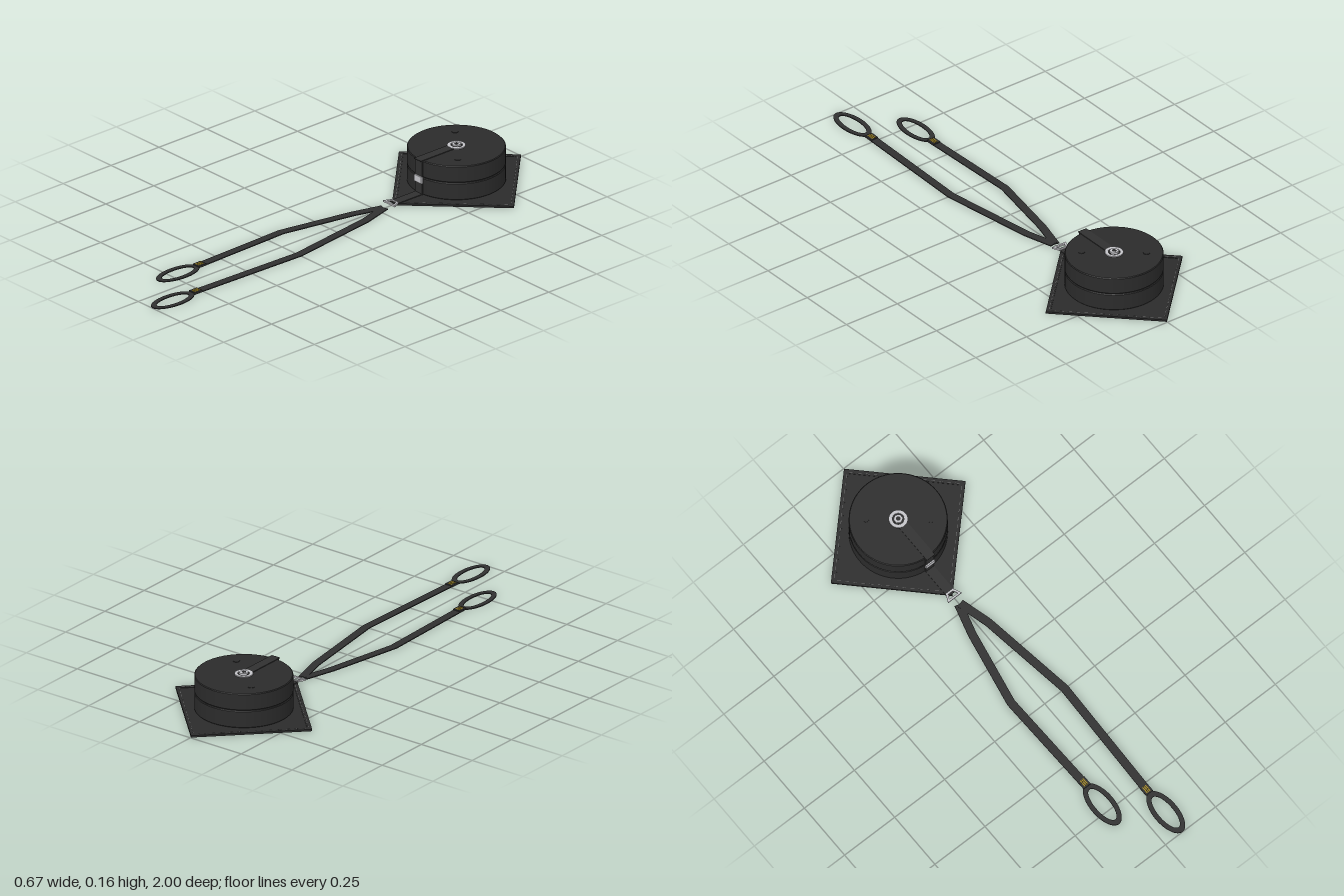
import * as THREE from 'three';

const CZ = -0.66; // centre of the mat and discs

const material = (name, color) => {
  const m = new THREE.MeshStandardMaterial({ color });
  m.name = name;
  return m;
};

// Extrudes a plan outline (x, z) upwards from y0 to y0 + h
function slab(shape, y0, h) {
  const g = new THREE.ExtrudeGeometry(shape, { depth: h, bevelEnabled: false, curveSegments: 32 });
  g.rotateX(Math.PI / 2);
  g.translate(0, y0 + h, 0);
  return g;
}

// Outline of a flat strap of constant width along a plan path
function strapShape(points, width) {
  const p = points.map(([x, z]) => new THREE.Vector2(x, z));
  const left = [], right = [];
  p.forEach((c, i) => {
    const a = p[Math.max(i - 1, 0)], b = p[Math.min(i + 1, p.length - 1)];
    const d = b.clone().sub(a).normalize().multiplyScalar(width / 2);
    left.push(new THREE.Vector2(c.x - d.y, c.y + d.x));
    right.unshift(new THREE.Vector2(c.x + d.y, c.y - d.x));
  });
  return new THREE.Shape([...left, ...right]);
}

export function createModel() {
  const model = new THREE.Group();
  const black = material('black body', 0x2b2b2b);
  const webbing = material('dark webbing', 0x303030);
  const metal = material('silver metal', 0xc4c4c8);
  const thread = material('grey thread', 0x6a6a6a);
  const yellow = material('yellow stitching', 0xa88a1c);
  const add = (parent, name, geometry, mat, x = 0, y = 0, z = 0) => {
    const mesh = new THREE.Mesh(geometry, mat);
    mesh.name = name;
    mesh.position.set(x, y, z);
    parent.add(mesh);
    return mesh;
  };

  // Square mat turned on its corner, with a hem and stitches on each side
  const mat = new THREE.Group();
  mat.name = 'mat';
  mat.position.z = CZ;
  mat.rotation.y = Math.PI / 4;
  model.add(mat);
  const side = 0.476;
  add(mat, 'matSheet', new THREE.BoxGeometry(side, 0.006, side), black, 0, 0.003, 0);
  for (let s = 0; s < 4; s++) {
    const edge = new THREE.Group();
    edge.name = 'matEdge';
    edge.rotation.y = s * Math.PI / 2;
    mat.add(edge);
    add(edge, 'hem', new THREE.BoxGeometry(side - 0.018, 0.002, 0.018), black, -0.009, 0.007, side / 2 - 0.009);
    for (let i = 0; i < 14; i++) {
      add(edge, 'stitch', new THREE.BoxGeometry(0.015, 0.001, 0.002), thread, (i - 6.5) * 0.032, 0.0083, side / 2 - 0.012);
    }
  }

  // Two stacked discs with softened rims, held apart by a hub
  const disc = (name, y0, y1) => {
    const r = 0.193, b = 0.003;
    const profile = [[0, y0], [r - b, y0], [r - b, y0], [r, y0 + b], [r, y0 + b],
      [r, y1 - b], [r, y1 - b], [r - b, y1], [r - b, y1], [0, y1]]
      .map(([x, y]) => new THREE.Vector2(x, y));
    add(model, name, new THREE.LatheGeometry(profile, 64), black, 0, 0, CZ);
  };
  disc('lowerDisc', 0.007, 0.079);
  disc('upperDisc', 0.0815, 0.152);
  add(model, 'hub', new THREE.CylinderGeometry(0.035, 0.035, 0.02, 32), black, 0, 0.08, CZ);
  for (const s of [-1, 1]) {
    add(model, 'topRivet', new THREE.CylinderGeometry(0.013, 0.013, 0.003, 20), black, s * 0.098, 0.1525, CZ + s * 0.08);
  }

  // Holding strap across the top, down the front and along the mat
  add(model, 'strapTop', new THREE.BoxGeometry(0.04, 0.003, 0.205), webbing, 0, 0.1535, CZ + 0.1015);
  add(model, 'strapFront', new THREE.BoxGeometry(0.04, 0.148, 0.005), webbing, 0, 0.081, CZ + 0.1945);
  add(model, 'strapBase', new THREE.BoxGeometry(0.04, 0.003, 0.14), webbing, 0, 0.0095, -0.398);
  add(model, 'buckle', new THREE.BoxGeometry(0.042, 0.028, 0.007), metal, 0, 0.071, CZ + 0.199);

  // Central bolt with its washer
  const washer = new THREE.Shape().absarc(0, 0, 0.036, 0, Math.PI * 2);
  washer.holes.push(new THREE.Path().absarc(0, 0, 0.024, 0, Math.PI * 2, true));
  add(model, 'washer', slab(washer, 0.152, 0.004), metal, 0, 0, CZ);
  add(model, 'bolt', new THREE.CylinderGeometry(0.019, 0.019, 0.009, 6), metal, 0, 0.1565, CZ);
  add(model, 'boltSocket', new THREE.CylinderGeometry(0.009, 0.009, 0.001, 16), black, 0, 0.1612, CZ);

  // Metal loop at the front corner
  const loop = new THREE.Shape([[-0.034, -0.308], [0.034, -0.308], [0.018, -0.342], [-0.018, -0.342]]
    .map(([x, z]) => new THREE.Vector2(x, z)));
  loop.holes.push(new THREE.Path([[-0.021, -0.316], [-0.012, -0.335], [0.012, -0.335], [0.021, -0.316]]
    .map(([x, z]) => new THREE.Vector2(x, z))));
  add(model, 'cornerLoop', slab(loop, 0.008, 0.007), metal);

  // Two flat leads that start together and end in oval hand loops
  const lead = (name, path, ringX, ringZ, y0) => {
    const group = new THREE.Group();
    group.name = name;
    model.add(group);
    add(group, 'leadStrap', slab(strapShape(path, 0.034), y0, 0.004), webbing);
    const ring = new THREE.Shape().absellipse(ringX, ringZ, 0.049, 0.104, 0, Math.PI * 2);
    ring.holes.push(new THREE.Path().absellipse(ringX, ringZ, 0.03, 0.08, 0, Math.PI * 2, true));
    add(group, 'handLoop', slab(ring, y0, 0.004), webbing);
    const [ex, ez] = path[path.length - 1];
    add(group, 'joinPatch', new THREE.BoxGeometry(0.034, 0.008, 0.04), webbing, ex, 0.004, ez - 0.015);
    for (const dx of [-0.007, 0, 0.007]) {
      add(group, 'joinStitch', new THREE.BoxGeometry(0.004, 0.001, 0.03), yellow, ex + dx, 0.0083, ez - 0.015);
    }
  };
  lead('rightLead', [[-0.004, -0.28], [-0.04, -0.15], [-0.1, 0.165], [-0.087, 0.617]], -0.087, 0.716, 0);
  lead('leftLead', [[0.004, -0.28], [0.04, -0.15], [0.1, 0.25], [0.085, 0.79]], 0.085, 0.896, 0.0005);

  return model;
}
